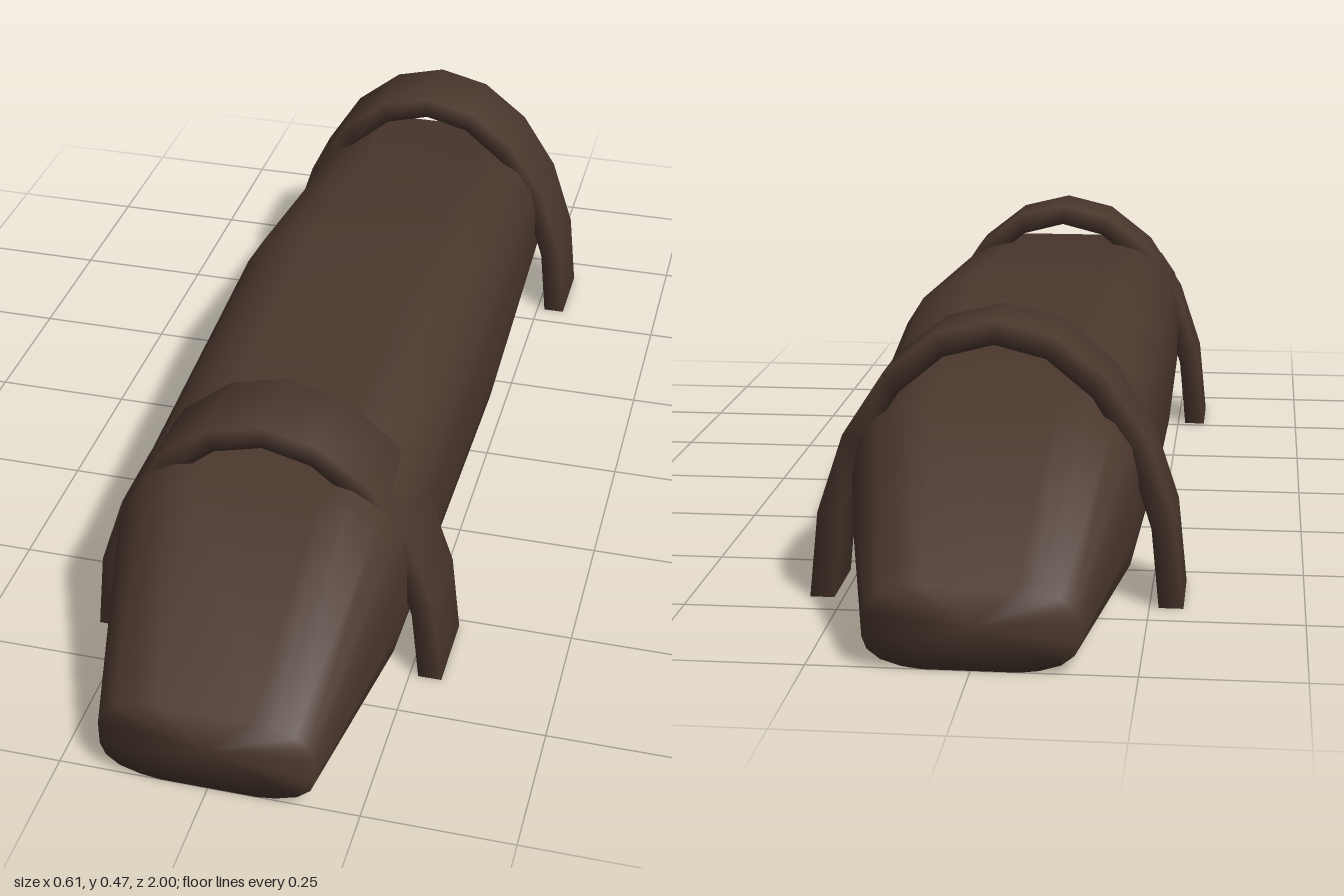
import * as THREE from 'three';

// Skin a list of closed rings (counter-clockwise about the path), capping both ends
function loft(rings) {
  const n = rings[0].length, pos = [], idx = [];
  rings.forEach(r => r.forEach(p => pos.push(...p)));
  for (let i = 0; i < rings.length - 1; i++) {
    for (let j = 0; j < n; j++) {
      const a = i * n + j, b = i * n + (j + 1) % n;
      idx.push(a, b, a + n, b, b + n, a + n);
    }
  }
  const cap = (ring, base, flip) => {
    const c = pos.length / 3;
    pos.push(...[0, 1, 2].map(k => ring.reduce((s, p) => s + p[k], 0) / n));
    for (let j = 0; j < n; j++) {
      const a = base + j, b = base + (j + 1) % n;
      idx.push(c, flip ? b : a, flip ? a : b);
    }
  };
  cap(rings[0], 0, true);
  cap(rings[rings.length - 1], (rings.length - 1) * n, false);
  const g = new THREE.BufferGeometry();
  g.setAttribute('position', new THREE.Float32BufferAttribute(pos, 3));
  g.setIndex(idx);
  g.computeVertexNormals();
  return g;
}

export function createModel() {
  const group = new THREE.Group();
  const leather = new THREE.MeshStandardMaterial({ color: 0x4a372d });
  leather.name = 'darkBrownLeather';
  const add = (name, geometry) => {
    const mesh = new THREE.Mesh(geometry, leather);
    mesh.name = name;
    group.add(mesh);
    return mesh;
  };

  // Rounded-square outline, one quadrant mirrored to all four
  const quad = [[1, 0.27], [0.953, 0.56], [0.83, 0.795], [0.63, 0.945], [0.45, 1]];
  const back = [...quad].reverse();
  const outline = [
    ...quad,
    ...back.map(([x, y]) => [-x, y]),
    ...quad.map(([x, y]) => [-x, -y]),
    ...back.map(([x, y]) => [x, -y]),
  ];

  // Bundle body: z, half width, height of each section, resting on the ground
  const sections = [
    [-1, 0.163, 0.132],
    [-0.7, 0.23, 0.34],
    [-0.06, 0.253, 0.42],
    [0.7, 0.243, 0.376],
    [1, 0.178, 0.157],
  ];
  add('body', loft(sections.map(([z, w, h]) =>
    outline.map(([x, y]) => [x * w, h / 2 * (1 + y), z]))));

  // Arched straps over the body
  const steps = 10, half = 0.0725;
  const arch = [];
  for (let i = 0; i <= steps; i++) {
    const t = Math.PI * i / steps, c = Math.cos(t), s = Math.sin(t);
    const inner = [0.265 * c, 0.428 * s], outer = [0.305 * c, 0.468 * s];
    arch.push([[...inner, half], [...outer, half], [...outer, -half], [...inner, -half]]);
  }
  const strap = loft(arch);
  add('frontStrap', strap).position.z = 0.5875;
  add('backStrap', strap).position.z = -0.6175;

  return group;
}
